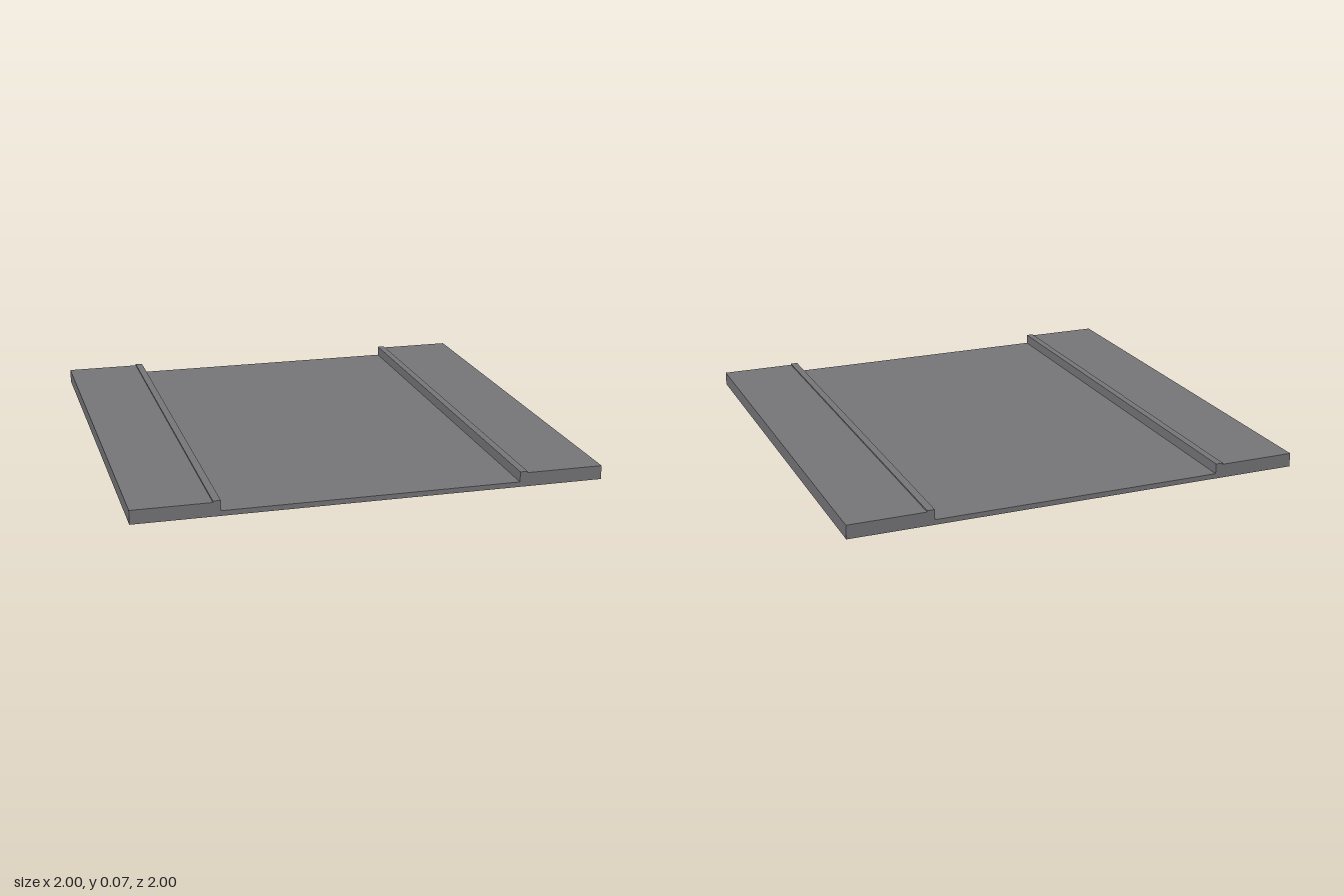
import * as THREE from 'three';
import { mergeGeometries } from 'three/addons/utils/BufferGeometryUtils.js';

const ROAD = 0.022, WALK = 0.06, CURB = 0.066; // surface heights
const INNER = 0.634, OUTER = 0.666;            // curb edges in x

// Open-bottomed strip: a profile (listed with x increasing) swept along z, with end walls
function strip(name, profile, material) {
  const pos = [];
  for (let i = 0; i < profile.length - 1; i++) {
    const [ax, ay] = profile[i], [bx, by] = profile[i + 1];
    pos.push(ax, ay, 1, bx, by, 1, bx, by, -1, ax, ay, 1, bx, by, -1, ax, ay, -1);
  }
  const surface = new THREE.BufferGeometry();
  surface.setAttribute('position', new THREE.Float32BufferAttribute(pos, 3));
  surface.computeVertexNormals();

  const endWall = (side) => {
    const pts = profile.map(([x, y]) => new THREE.Vector2(side * x, y));
    const last = pts[pts.length - 1];
    if (last.y > 0) pts.push(new THREE.Vector2(last.x, 0));
    pts.push(new THREE.Vector2(pts[0].x, 0));
    const wall = new THREE.ShapeGeometry(new THREE.Shape(pts)).toNonIndexed();
    wall.deleteAttribute('uv');
    wall.translate(0, 0, 1);
    if (side < 0) wall.rotateY(Math.PI);
    return wall;
  };

  const mesh = new THREE.Mesh(mergeGeometries([surface, endWall(1), endWall(-1)]), material);
  mesh.name = name;
  return mesh;
}

export function createModel() {
  const model = new THREE.Group();
  model.name = 'roadTile';
  const asphalt = new THREE.MeshStandardMaterial({ color: 0x77767a, side: THREE.DoubleSide });
  asphalt.name = 'asphalt grey';

  // Sunken carriageway
  model.add(strip('road', [[-INNER, ROAD], [INNER, ROAD]], asphalt));

  // Raised curb and pavement on both sides
  for (const side of ['left', 'right']) {
    const group = new THREE.Group();
    group.name = side + 'Pavement';
    group.add(
      strip(side + 'Curb', [[INNER, ROAD], [INNER, CURB], [OUTER, CURB], [OUTER, WALK]], asphalt),
      strip(side + 'Sidewalk', [[OUTER, WALK], [1, WALK], [1, 0]], asphalt),
    );
    if (side === 'right') group.rotation.y = Math.PI;
    model.add(group);
  }
  return model;
}
